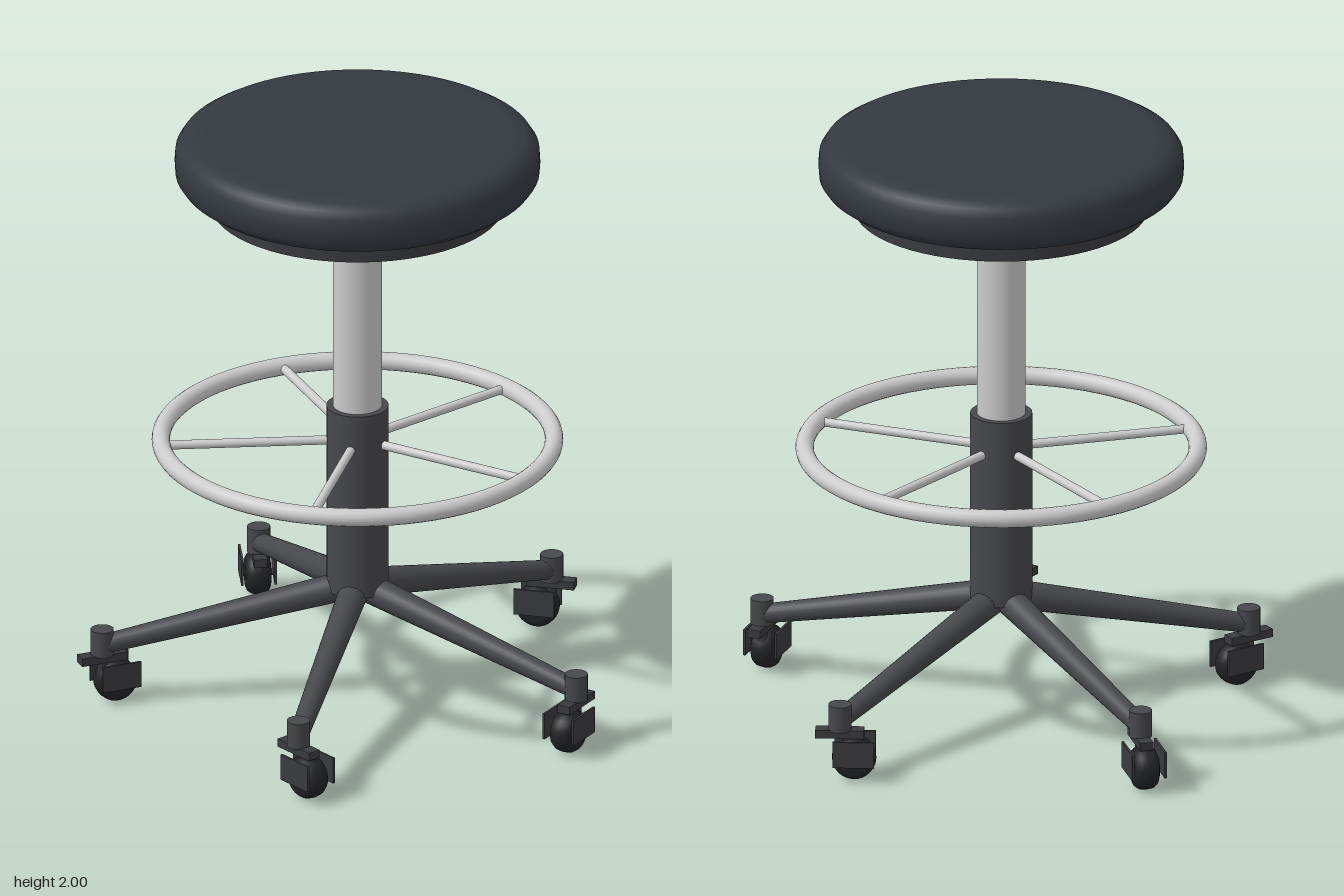
import * as THREE from 'three';

const mat = (color) => new THREE.MeshStandardMaterial({ color });
const metal = mat(0xcccccc);
const frame = mat(0x47484c);
const plastic = mat(0x3a3b3f);
const rubber = mat(0x222326);
const vinyl = mat(0x343940);

function add(parent, name, geometry, material, x = 0, y = 0, z = 0) {
  const mesh = new THREE.Mesh(geometry, material);
  mesh.name = name;
  mesh.position.set(x, y, z);
  parent.add(mesh);
  return mesh;
}

// Tapered rod between two points
function rod(parent, name, a, b, ra, rb, material) {
  const dir = b.clone().sub(a);
  const mesh = add(parent, name, new THREE.CylinderGeometry(rb, ra, dir.length(), 24), material);
  mesh.position.copy(a).add(b).multiplyScalar(0.5);
  mesh.quaternion.setFromUnitVectors(new THREE.Vector3(0, 1, 0), dir.normalize());
  return mesh;
}

const lathe = (pts, n) =>
  new THREE.LatheGeometry(pts.map(([r, y]) => new THREE.Vector2(r, y)), n);

// Caster swivelling on its stem; the wheel trails toward local +z
function makeCaster() {
  const caster = new THREE.Group();
  caster.name = 'caster';
  add(caster, 'casterSocket', new THREE.CylinderGeometry(0.038, 0.038, 0.09, 24), frame, 0, 0.213);
  add(caster, 'casterStem', new THREE.CylinderGeometry(0.018, 0.018, 0.1, 12), plastic, 0, 0.14);
  add(caster, 'casterBar', new THREE.BoxGeometry(0.045, 0.028, 0.16), plastic, 0, 0.158, 0);
  const wheel = add(caster, 'wheel', lathe([
    [0, -0.042], [0.045, -0.042], [0.06, -0.036], [0.07, -0.022], [0.073, 0],
    [0.07, 0.022], [0.06, 0.036], [0.045, 0.042], [0, 0.042],
  ], 32), rubber, 0, 0.073, 0.047);
  wheel.rotation.z = Math.PI / 2;
  const axle = add(caster, 'axle', new THREE.CylinderGeometry(0.012, 0.012, 0.11, 12), plastic, 0, 0.073, 0.047);
  axle.rotation.z = Math.PI / 2;
  for (const s of [-1, 1]) {
    add(caster, 'forkPlate', new THREE.BoxGeometry(0.008, 0.09, 0.136), plastic, s * 0.055, 0.1, 0.047);
  }
  return caster;
}

export function createModel() {
  const stool = new THREE.Group();
  stool.name = 'stool';
  const body = new THREE.Group();
  body.name = 'body';
  body.position.set(-0.06, 0, -0.012);
  stool.add(body);

  // Seat cushion and its base plate
  add(body, 'seatCushion', lathe([
    [0, 1.812], [0.52, 1.812], [0.55, 1.818], [0.58, 1.84], [0.597, 1.865], [0.6, 1.905],
    [0.597, 1.945], [0.58, 1.972], [0.55, 1.99], [0.5, 1.996], [0, 2.0],
  ], 72), vinyl);
  add(body, 'seatPlate', new THREE.CylinderGeometry(0.482, 0.482, 0.065, 64), plastic, 0, 1.782);

  // Column
  add(body, 'gasPost', new THREE.CylinderGeometry(0.08, 0.08, 0.8, 40), metal, 0, 1.37);
  add(body, 'columnSleeve', new THREE.CylinderGeometry(0.102, 0.102, 0.65, 40), frame, 0, 0.705);

  // Foot ring
  const ring = add(body, 'footRing', new THREE.TorusGeometry(0.645, 0.03, 16, 80), metal, 0, 0.908);
  ring.rotation.x = Math.PI / 2;

  // Five legs, each with a ring spoke above and a caster at its end
  for (let i = 0; i < 5; i++) {
    const angle = (i * 2 * Math.PI) / 5;
    const arm = new THREE.Group();
    arm.name = 'arm';
    arm.rotation.y = angle;
    body.add(arm);
    rod(arm, 'leg', new THREE.Vector3(0, 0.395, 0), new THREE.Vector3(0.84, 0.202, 0), 0.05, 0.032, frame);
    rod(arm, 'ringSpoke', new THREE.Vector3(0.09, 0.908, 0), new THREE.Vector3(0.64, 0.908, 0), 0.015, 0.015, metal);

    const caster = makeCaster();
    caster.position.set(0.84 * Math.cos(angle), 0, -0.84 * Math.sin(angle));
    caster.rotation.y = -angle;
    body.add(caster);
  }
  return stool;
}
